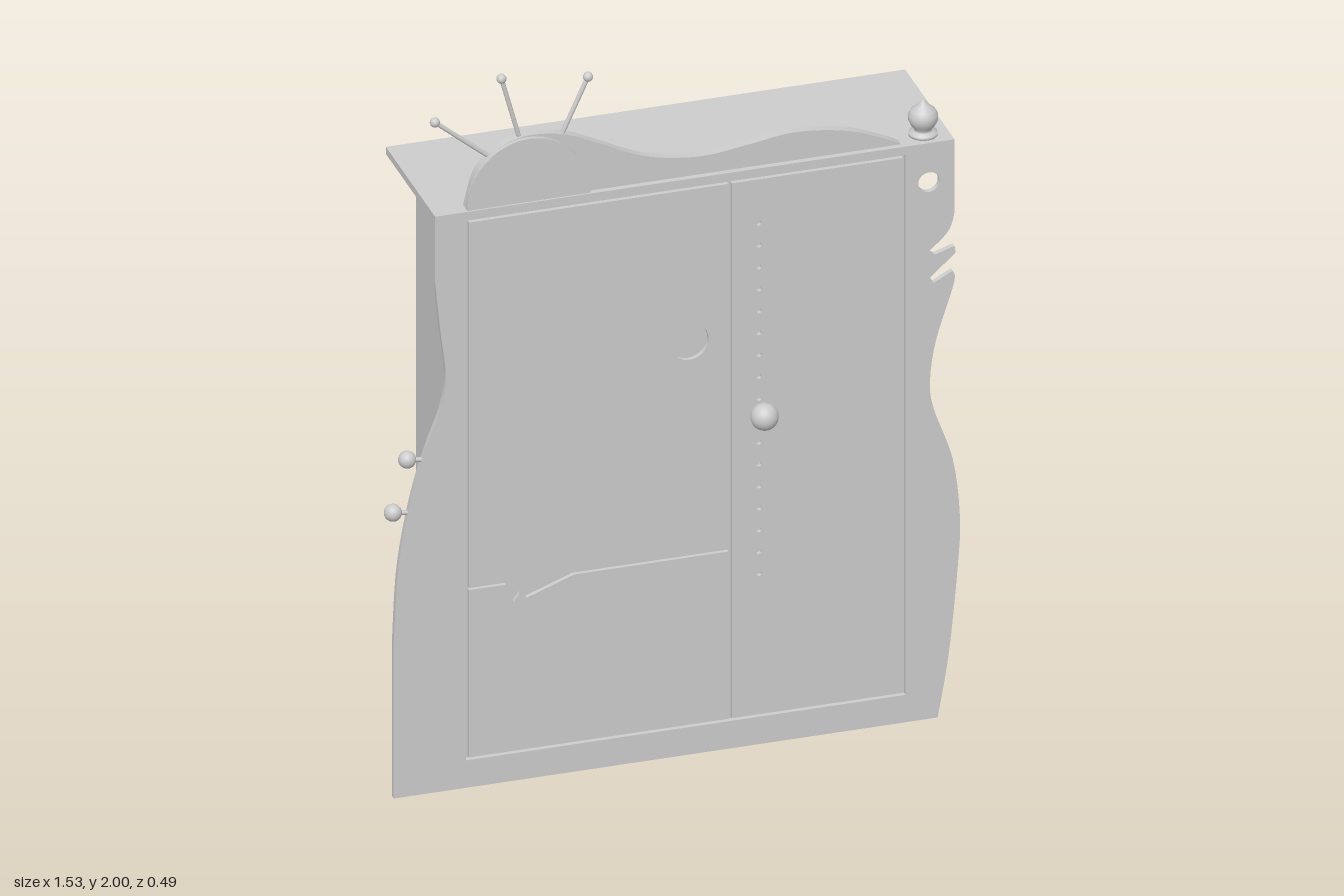
import * as THREE from 'three';

const material = new THREE.MeshStandardMaterial({ color: 0xcccccc, side: THREE.DoubleSide });
const v2 = (pts) => pts.map(([x, y]) => new THREE.Vector2(x, y));

function circlePath(x, y, r) {
  return new THREE.Path().absarc(x, y, r, 0, Math.PI * 2, true);
}

function rectPath(x0, x1, y0, y1) {
  return new THREE.Path(v2([[x0, y0], [x0, y1], [x1, y1], [x1, y0]]));
}

export function createModel() {
  const group = new THREE.Group();

  const add = (name, geometry, x = 0, y = 0, z = 0) => {
    const mesh = new THREE.Mesh(geometry, material);
    mesh.name = name;
    mesh.position.set(x, y, z);
    group.add(mesh);
    return mesh;
  };

  // Flat board cut from a shape, between two depths
  const board = (name, shape, z0, z1) => add(name, new THREE.ExtrudeGeometry(shape,
    { depth: z1 - z0, bevelEnabled: false, curveSegments: 12 }), 0, 0, z0);

  const box = (name, x0, x1, y0, y1, z0, z1) => add(name,
    new THREE.BoxGeometry(x1 - x0, y1 - y0, z1 - z0),
    (x0 + x1) / 2, (y0 + y1) / 2, (z0 + z1) / 2);

  const ball = (name, r, x, y, z) => add(name, new THREE.SphereGeometry(r, 24, 16), x, y, z);

  const rod = (name, a, b, r) => {
    const from = new THREE.Vector3(...a), to = new THREE.Vector3(...b);
    const mesh = add(name, new THREE.CylinderGeometry(r, r, from.distanceTo(to), 12));
    mesh.position.copy(from).lerp(to, 0.5);
    mesh.quaternion.setFromUnitVectors(new THREE.Vector3(0, 1, 0), to.sub(from).normalize());
  };

  // Cabinet box and overhanging top
  box('cabinetBody', -0.555, 0.615, 0, 1.618, -0.245, 0.144);
  box('topBoard', -0.635, 0.745, 1.618, 1.638, -0.245, 0.144);

  // Wavy front frame with claw notches, a round hole and the door opening
  const frame = new THREE.Shape();
  frame.moveTo(-0.745, 0);
  frame.lineTo(0.70, 0);
  frame.splineThru(v2([[0.73, 0.18], [0.755, 0.44], [0.759, 0.57], [0.74, 0.73],
    [0.69, 0.88], [0.68, 0.96], [0.695, 1.07], [0.738, 1.21], [0.747, 1.25]]));
  for (const [x, y] of [[0.74, 1.265], [0.69, 1.238], [0.68, 1.255], [0.748, 1.315],
    [0.745, 1.335], [0.692, 1.318], [0.676, 1.33]]) frame.lineTo(x, y);
  frame.splineThru(v2([[0.725, 1.375], [0.743, 1.42], [0.745, 1.47]]));
  frame.lineTo(0.745, 1.638);
  frame.lineTo(-0.635, 1.638);
  frame.lineTo(-0.635, 1.45);
  frame.splineThru(v2([[-0.622, 1.32], [-0.607, 1.18], [-0.62, 1.09], [-0.66, 0.98],
    [-0.70, 0.84], [-0.733, 0.65], [-0.745, 0.44]]));
  frame.holes.push(rectPath(-0.553, 0.615, 0.078, 1.614), circlePath(0.677, 1.527, 0.028));
  board('frontFrame', frame, 0.144, 0.159);

  // Left door with a round opening
  const leftDoor = new THREE.Shape(rectPath(-0.545, 0.144, 0.567, 1.607).getPoints());
  leftDoor.holes.push(circlePath(0.04, 1.175, 0.052));
  board('leftDoor', leftDoor, 0.147, 0.159);

  // Lower drawer with a jagged chip in its top edge
  const drawer = new THREE.Shape(v2([[-0.545, 0.085], [0.144, 0.085], [0.144, 0.561],
    [-0.265, 0.561], [-0.392, 0.515], [-0.41, 0.531], [-0.426, 0.508], [-0.447, 0.561],
    [-0.545, 0.561]]));
  board('lowerDrawer', drawer, 0.147, 0.159);

  // Right door with a column of small holes
  const rightDoor = new THREE.Shape(rectPath(0.154, 0.608, 0.085, 1.607).getPoints());
  for (let i = 0; i < 17; i++) rightDoor.holes.push(circlePath(0.225, 0.485 + i * 0.0623, 0.007));
  board('rightDoor', rightDoor, 0.147, 0.159);

  // Door knob
  rod('doorKnobStem', [0.225, 0.955, 0.15], [0.225, 0.955, 0.19], 0.01);
  ball('doorKnob', 0.036, 0.225, 0.955, 0.206);

  // Side knobs on the left edge of the frame
  for (const [x, y, edge] of [[-0.707, 0.955, -0.66], [-0.745, 0.81, -0.695]]) {
    rod('sideKnobStem', [x, y, 0.152], [edge, y - 0.007, 0.152], 0.006);
    ball('sideKnob', 0.023, x, y, 0.152);
  }

  // Wavy crest along the top
  const crest = new THREE.Shape();
  crest.moveTo(0.61, 1.637);
  crest.splineThru(v2([[0.56, 1.663], [0.46, 1.70], [0.325, 1.717], [0.19, 1.70], [0.07, 1.689],
    [-0.07, 1.712], [-0.20, 1.772], [-0.28, 1.807], [-0.35, 1.82], [-0.41, 1.817],
    [-0.47, 1.79], [-0.52, 1.735], [-0.548, 1.637]]));
  board('crest', crest, 0.118, 0.143);

  // Half disc in front of the crest
  const disc = new THREE.Shape();
  disc.moveTo(-0.22, 1.637);
  disc.absellipse(-0.384, 1.637, 0.164, 0.18, 0, Math.PI, false);
  board('crestDisc', disc, 0.143, 0.154);

  // Ball-tipped spikes
  for (const [x0, y0, x1, y1] of [[-0.48, 1.77, -0.627, 1.892], [-0.402, 1.81, -0.45, 1.988],
    [-0.292, 1.80, -0.22, 1.957]]) {
    rod('spike', [x0, y0, 0.132], [x1, y1, 0.132], 0.006);
    ball('spikeTip', 0.013, x1, y1, 0.132);
  }

  // Turned finial
  add('finial', new THREE.LatheGeometry(v2([[0, 0], [0.037, 0], [0.037, 0.01], [0.024, 0.014],
    [0.022, 0.02], [0.031, 0.03], [0.038, 0.045], [0.038, 0.06], [0.031, 0.073], [0.018, 0.084],
    [0.008, 0.094], [0, 0.104]]), 28), 0.678, 1.636, 0.108);

  return group;
}
